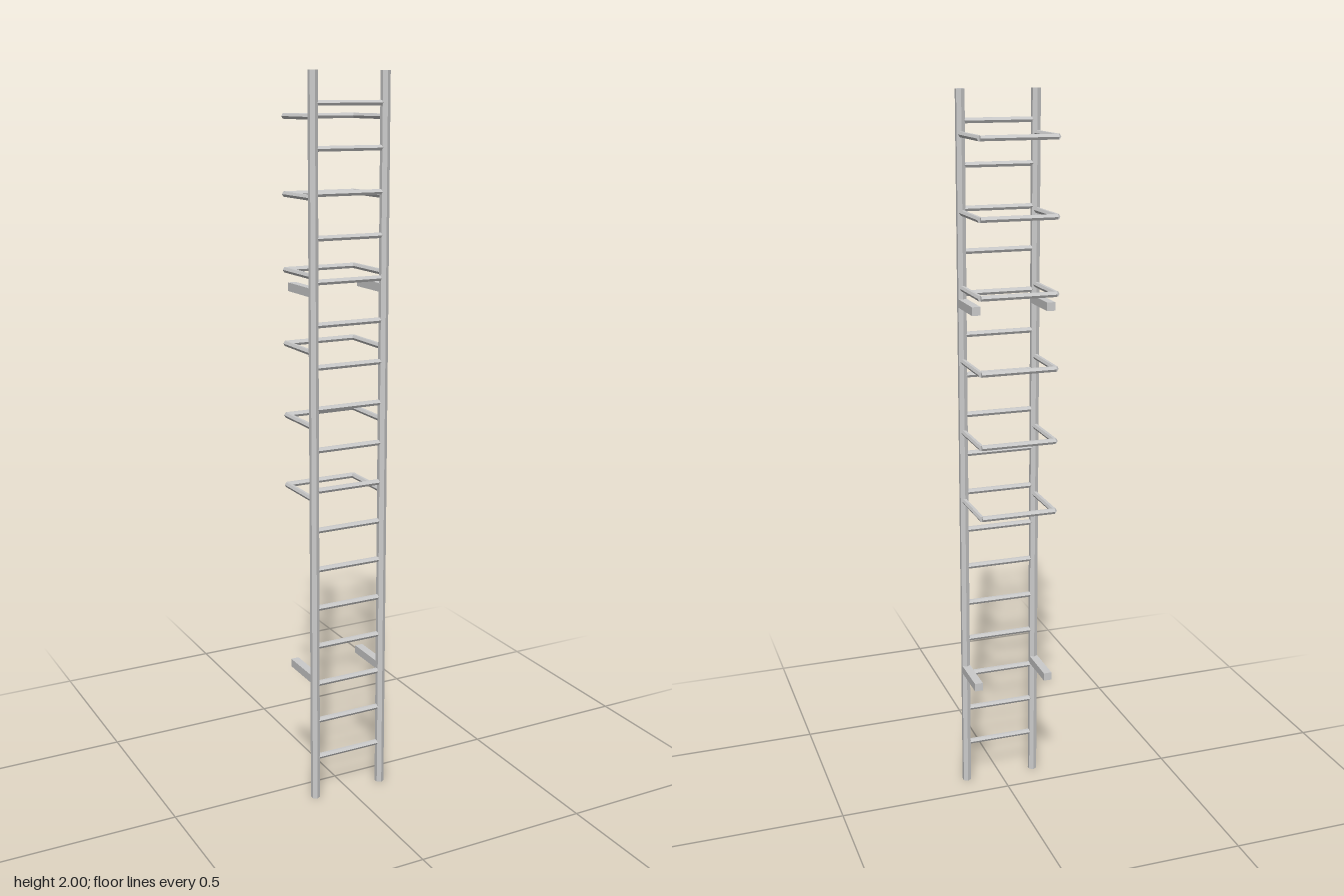
import * as THREE from 'three';

const RAIL_X = 0.104, RAIL_Z = 0.08, HOOP_Z = -0.087;

export function createModel() {
  const model = new THREE.Group();
  model.name = 'cagedLadder';
  const material = new THREE.MeshStandardMaterial({ color: 0xcccccc, flatShading: true });

  const add = (parent, name, geometry, x, y, z) => {
    const mesh = new THREE.Mesh(geometry, material);
    mesh.name = name;
    mesh.position.set(x, y, z);
    parent.add(mesh);
  };

  // Six-sided bars along each axis
  const crossBar = new THREE.CylinderGeometry(0.008, 0.008, RAIL_X * 2, 6).rotateZ(Math.PI / 2);
  const depth = RAIL_Z - HOOP_Z;
  const sideBar = new THREE.CylinderGeometry(0.008, 0.008, depth, 6)
    .rotateY(Math.PI / 2).rotateX(Math.PI / 2);
  const rail = new THREE.CylinderGeometry(0.013, 0.013, 2, 6);
  const bracket = new THREE.BoxGeometry(0.023, 0.023, 0.128);

  // Upright rails and wall brackets, mirrored left and right
  for (const [side, s] of [['left', 1], ['right', -1]]) {
    add(model, side + 'Rail', rail, s * RAIL_X, 1, RAIL_Z);
    for (const y of [0.366, 1.446]) {
      add(model, side + 'Bracket', bracket, s * RAIL_X, y, 0.016);
    }
  }

  // Rungs
  for (let i = 0; i < 17; i++) {
    add(model, 'rung', crossBar, 0, 0.125 + i * 0.1122, RAIL_Z);
  }

  // Square safety hoops behind the upper half
  for (let i = 0; i < 6; i++) {
    const hoop = new THREE.Group();
    hoop.name = 'safetyHoop';
    hoop.position.y = 0.886 + i * 0.2;
    add(hoop, 'hoopBack', crossBar, 0, 0, HOOP_Z);
    for (const s of [1, -1]) {
      add(hoop, s > 0 ? 'hoopLeft' : 'hoopRight', sideBar, s * RAIL_X, 0, (RAIL_Z + HOOP_Z) / 2);
    }
    model.add(hoop);
  }
  return model;
}
